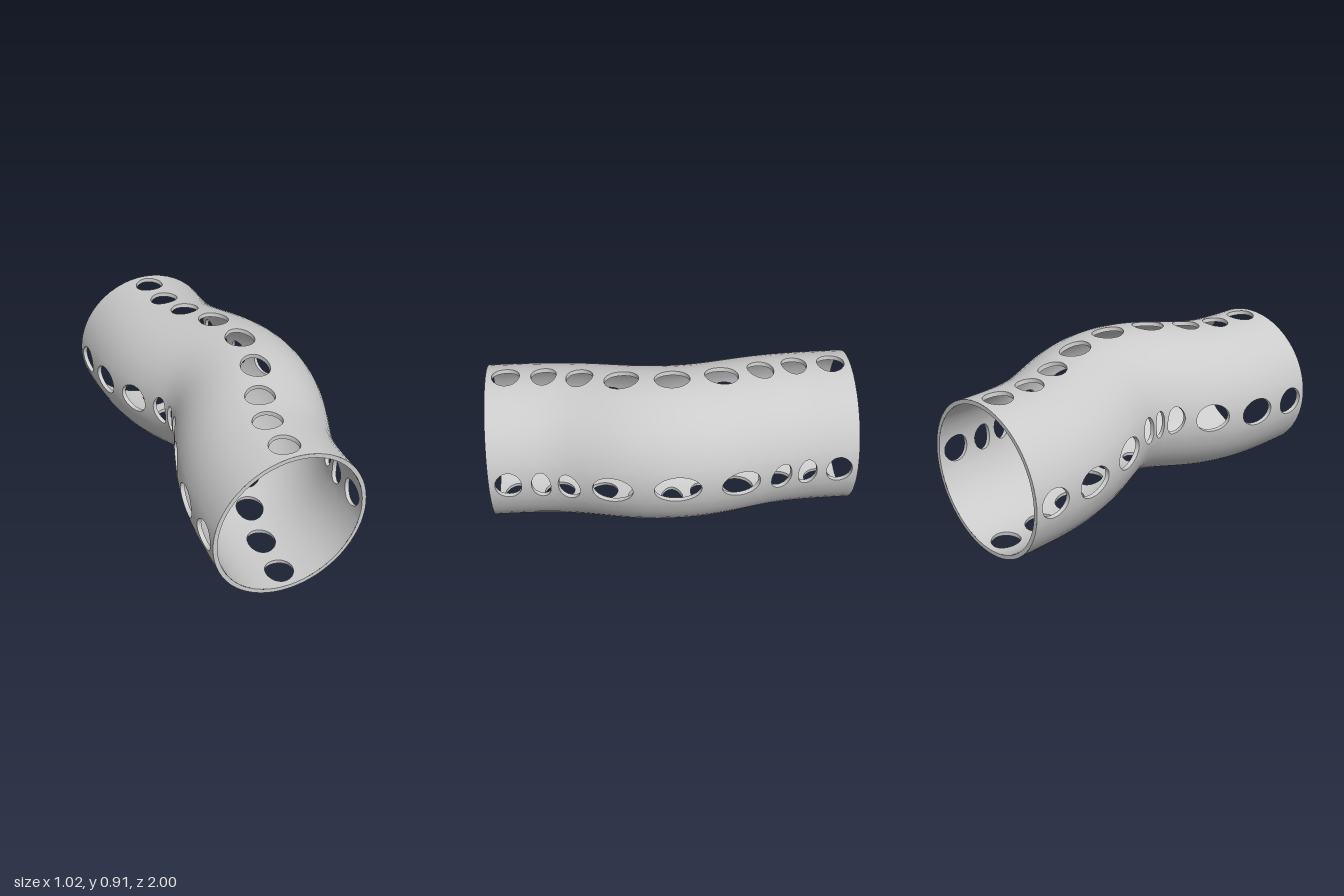
import * as THREE from 'three';
import { toCreasedNormals } from 'three/addons/utils/BufferGeometryUtils.js';

const OUTER = 0.422, INNER = 0.399;   // tube radii
const CELL = 2 / 9, HALF = CELL / 2;  // spacing of the holes along the tube
const HOLE_U = 0.078, HOLE_A = 0.188; // hole radius along the tube / as an angle
const CELL_A = 0.27;                  // half angle of the patch around a hole

// Bent centre line: a smooth sideways and upward bulge at the middle
function frame(u) {
  const a = Math.abs(u) / 0.44;
  const f = Math.exp(-Math.pow(a, 2.2));
  const df = -Math.sign(u) * f * (2.2 / 0.44) * Math.pow(a, 1.2) * (1 - Math.pow(u, 8));
  const p = new THREE.Vector3(-0.094 + 0.185 * f, 0.423 + 0.066 * f, u);
  const t = new THREE.Vector3(0.185 * df, 0.066 * df, 1).normalize();
  const n = new THREE.Vector3(1, 0, 0).addScaledVector(t, -t.x).normalize();
  return { p, n, b: new THREE.Vector3().crossVectors(t, n) };
}

// Point on the tube at an angle, a position along it and a radius
function tubePoint(angle, u, r) {
  const { p, n, b } = frame(u);
  return p.addScaledVector(n, r * Math.cos(angle)).addScaledVector(b, r * Math.sin(angle));
}

// Adds a grid of quads; fn(s, t) gives each point
function sheet(out, ns, nt, fn) {
  const rows = [];
  for (let i = 0; i <= ns; i++) {
    rows.push([]);
    for (let j = 0; j <= nt; j++) rows[i].push(fn(i / ns, j / nt));
  }
  for (let i = 0; i < ns; i++) {
    for (let j = 0; j < nt; j++) {
      const a = rows[i][j], b = rows[i + 1][j], c = rows[i + 1][j + 1], d = rows[i][j + 1];
      for (const v of [a, b, c, a, c, d]) out.push(v.x, v.y, v.z);
    }
  }
}

// Adds a patch to the outer skin and, reversed, to the inner skin
function wall(out, ns, nt, map) {
  sheet(out, ns, nt, (s, t) => tubePoint(...map(s, t), OUTER));
  sheet(out, ns, nt, (s, t) => tubePoint(...map(s, 1 - t), INNER));
}

function meshFrom(name, positions, material) {
  const geometry = new THREE.BufferGeometry();
  geometry.setAttribute('position', new THREE.Float32BufferAttribute(positions, 3));
  const mesh = new THREE.Mesh(toCreasedNormals(geometry, 0.6), material);
  mesh.name = name;
  return mesh;
}

export function createModel() {
  const group = new THREE.Group();
  group.name = 'perforatedBentTube';
  const material = new THREE.MeshStandardMaterial({ color: 0xcccccc });
  const skin = [], rims = [], ends = [];

  for (let row = 0; row < 4; row++) {
    const angle = row * Math.PI / 2;
    for (let k = -4; k <= 4; k++) {
      const u0 = k * CELL;

      // Patch running from the hole edge out to its rectangular cell
      wall(skin, 4, 32, (s, t) => {
        const a = t * Math.PI * 2, c = Math.cos(a), d = Math.sin(a);
        const m = 1 / Math.max(Math.abs(c), Math.abs(d));
        return [
          angle + c * THREE.MathUtils.lerp(HOLE_A, CELL_A * m, s),
          u0 + d * THREE.MathUtils.lerp(HOLE_U, HALF * m, s),
        ];
      });

      // Plain strip between this row of holes and the next
      wall(skin, 8, 8, (s, t) => [
        angle + THREE.MathUtils.lerp(CELL_A, Math.PI / 2 - CELL_A, s),
        u0 + HALF * Math.tan((t - 0.5) * Math.PI / 2),
      ]);

      // Thickness of the wall inside the hole
      sheet(rims, 1, 32, (s, t) => {
        const a = t * Math.PI * 2;
        return tubePoint(angle + HOLE_A * Math.cos(a), u0 + HOLE_U * Math.sin(a),
          THREE.MathUtils.lerp(INNER, OUTER, s));
      });
    }
  }

  // Flat rings closing the wall at both ends
  for (const side of [1, -1]) {
    sheet(ends, 1, 64, (s, t) => tubePoint(side * t * Math.PI * 2, side,
      THREE.MathUtils.lerp(INNER, OUTER, s)));
  }

  group.add(
    meshFrom('tubeWall', skin, material),
    meshFrom('holeRims', rims, material),
    meshFrom('endRings', ends, material),
  );
  return group;
}
